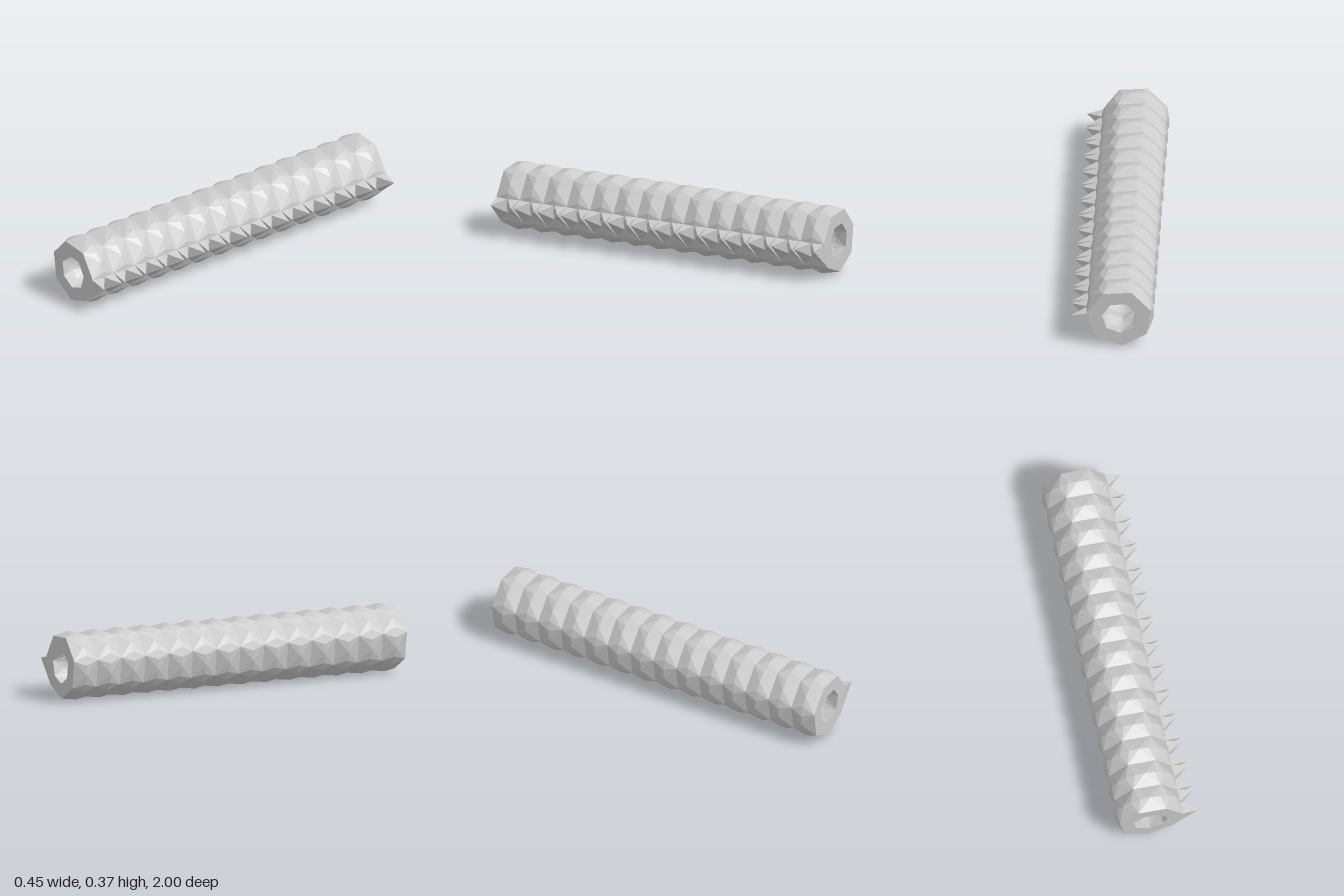
import * as THREE from 'three';
import { ConvexGeometry } from 'three/addons/geometries/ConvexGeometry.js';

const SIDES = 7, BAYS = 14, PITCH = 2 / BAYS;
const STEP = (Math.PI * 2) / SIDES, START = THREE.MathUtils.degToRad(8.5);
const CX = -0.04, CY = 0.186;
const R_OUT = 0.177, R_IN = 0.096;

// Point on a ring; s counts sides of the heptagon
const ringPoint = (r, s, z) => {
  const a = START + s * STEP;
  return [Math.cos(a) * r, Math.sin(a) * r, z];
};

// Pleated wall: heptagon rings joined by triangle fans to rounder rings half way along each bay
function pleatedWall(rRing, rMid, inward) {
  const pos = [];
  const tri = (a, b, c, flip) => pos.push(...a, ...(flip ? c : b), ...(flip ? b : c));
  for (let k = 0; k < BAYS; k++) {
    const z0 = -1 + k * PITCH, zm = z0 + PITCH / 2;
    for (const [z, back] of [[z0, false], [z0 + PITCH, true]]) {
      const flip = back !== inward;
      for (let i = 0; i < SIDES; i++) {
        const corner = ringPoint(rRing, i, z);
        // Large facet on the heptagon edge
        tri(corner, ringPoint(rRing, i + 1, z), ringPoint(rMid, i + 0.5, zm), flip);
        // Fan around the heptagon corner
        for (let j = 0; j < 3; j++) {
          const s = i - 0.5 + j / 3;
          tri(corner, ringPoint(rMid, s + 1 / 3, zm), ringPoint(rMid, s, zm), flip);
        }
      }
    }
  }
  const g = new THREE.BufferGeometry();
  g.setAttribute('position', new THREE.Float32BufferAttribute(pos, 3));
  g.computeVertexNormals();
  return g;
}

// Half of a pointed tooth; dir is the z direction from its heptagon ring to mid bay
function halfTooth(dir) {
  const h = (dir * PITCH) / 2;
  const v = (x, y, z) => new THREE.Vector3(x - CX, y - CY, z);
  return new ConvexGeometry([
    v(0.1, 0.187, 0),
    v(0.133, 0.211, 0),
    v(0.085, 0.066, 0),
    v(0.224, 0.187, dir * 0.011),
    v(0.138, 0.21, h),
    v(0.134, 0.13, h),
  ]);
}

export function createModel() {
  const model = new THREE.Group();
  model.name = 'pleatedTube';
  const mat = new THREE.MeshStandardMaterial({ color: 0xcccccc, flatShading: true });
  const body = new THREE.Group();
  body.name = 'body';
  body.position.set(CX, CY, 0);
  model.add(body);

  const add = (name, geo, z = 0) => {
    const m = new THREE.Mesh(geo, mat);
    m.name = name;
    m.position.z = z;
    body.add(m);
    return m;
  };

  add('outerWall', pleatedWall(R_OUT, 0.186, false));
  add('innerWall', pleatedWall(R_IN, 0.104, true));

  // Flat end rings
  const cap = new THREE.RingGeometry(R_IN, R_OUT, SIDES, 1, START);
  add('frontEnd', cap, 1);
  const backCap = new THREE.RingGeometry(R_IN, R_OUT, SIDES, 1, -START);
  add('backEnd', backCap, -1).rotation.x = Math.PI;

  // Row of split teeth, two mirrored halves per bay
  const forward = halfTooth(1), backward = halfTooth(-1);
  for (let k = 0; k < BAYS; k++) {
    add('tooth', forward, -1 + k * PITCH);
    add('tooth', backward, -1 + (k + 1) * PITCH);
  }
  return model;
}
